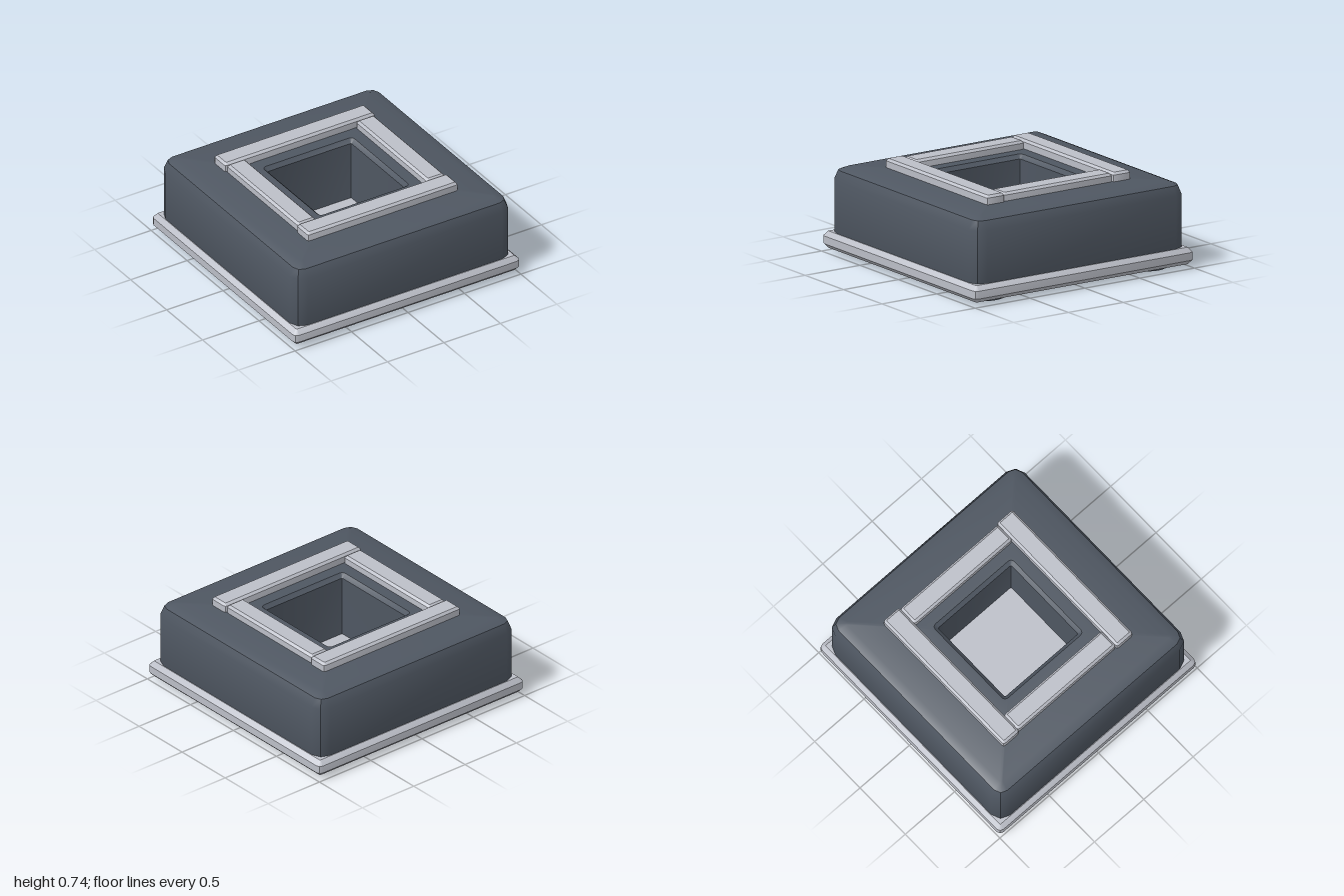
import * as THREE from 'three';
import { toCreasedNormals } from 'three/addons/utils/BufferGeometryUtils.js';

// Rectangle outline with cut corners: three points per corner, counter-clockwise from above
function outline(hx, hz, r) {
  const pts = [];
  for (let q = 0; q < 4; q++) {
    const sx = q === 0 || q === 3 ? 1 : -1;
    const sz = q < 2 ? -1 : 1;
    for (let k = 0; k < 3; k++) {
      const a = (q + k / 2) * Math.PI / 2;
      pts.push([sx * (hx - r) + r * Math.cos(a), sz * (hz - r) - r * Math.sin(a)]);
    }
  }
  return pts;
}

// Joins a stack of outlines [hx, hz, cornerRadius, y] into one surface
function loft(levels, capBottom, capTop) {
  const pos = [], idx = [], n = 12;
  for (const [hx, hz, r, y] of levels) {
    for (const [x, z] of outline(hx, hz, r)) pos.push(x, y, z);
  }
  const last = (levels.length - 1) * n;
  const bottom = pos.length / 3;
  pos.push(0, levels[0][3], 0, 0, levels[levels.length - 1][3], 0);
  for (let j = 0; j < n; j++) {
    const k = (j + 1) % n;
    for (let i = 0; i < last; i += n) {
      idx.push(i + j, i + k, i + n + k, i + j, i + n + k, i + n + j);
    }
    if (capBottom) idx.push(bottom, k, j);
    if (capTop) idx.push(bottom + 1, last + j, last + k);
  }
  const geo = new THREE.BufferGeometry();
  geo.setAttribute('position', new THREE.Float32BufferAttribute(pos, 3));
  geo.setIndex(idx);
  return toCreasedNormals(geo, 0.7);
}

// Closed block with a chamfer c on every edge
function chamferBlock(hx, hz, y0, y1, c) {
  return loft([
    [hx - c, hz - c, 0.004, y0],
    [hx, hz, c, y0 + c],
    [hx, hz, c, y1 - c],
    [hx - c, hz - c, 0.004, y1],
  ], true, true);
}

export function createModel() {
  const group = new THREE.Group();
  const slate = new THREE.MeshStandardMaterial({ color: 0x4f5762 });
  slate.name = 'slate';
  const paleGrey = new THREE.MeshStandardMaterial({ color: 0xbcbfc8 });
  paleGrey.name = 'paleGrey';

  function add(name, geo, mat, x = 0, y = 0, z = 0) {
    const mesh = new THREE.Mesh(geo, mat);
    mesh.name = name;
    mesh.position.set(x, y, z);
    group.add(mesh);
  }

  // Body: closed underneath, rounded edges, square well open at the top
  const profile = [
    [0.88, 0.02, 0.008], [0.93, 0.07, 0.035], [0.96, 0.1, 0.1],
    [0.96, 0.1, 0.57], [0.93, 0.07, 0.64], [0.86, 0.02, 0.67],
    [0.4, 0.03, 0.67], [0.37, 0.01, 0.64], [0.37, 0.01, 0.12],
  ];
  add('body', loft(profile.map(([h, r, y]) => [h, h, r, y]), true, false), slate);

  // Skirt around the base, whose top is also the floor of the well
  add('baseSkirt', chamferBlock(1, 1, 0.03, 0.16, 0.035), paleGrey);

  // Raised frame around the opening
  const longBar = chamferBlock(0.665, 0.08, 0.62, 0.74, 0.018);
  const shortBar = chamferBlock(0.08, 0.495, 0.62, 0.735, 0.018);
  for (const s of [-1, 1]) {
    add(s > 0 ? 'frameFront' : 'frameBack', longBar, paleGrey, 0, 0, s * 0.575);
    add(s > 0 ? 'frameLeft' : 'frameRight', shortBar, paleGrey, s * 0.572, 0, 0);
  }

  // Low round feet
  const foot = new THREE.CylinderGeometry(0.16, 0.16, 0.05, 24);
  for (const x of [-0.74, 0.74]) {
    for (const z of [-0.74, 0.74]) add('foot', foot, slate, x, 0.025, z);
  }

  return group;
}
